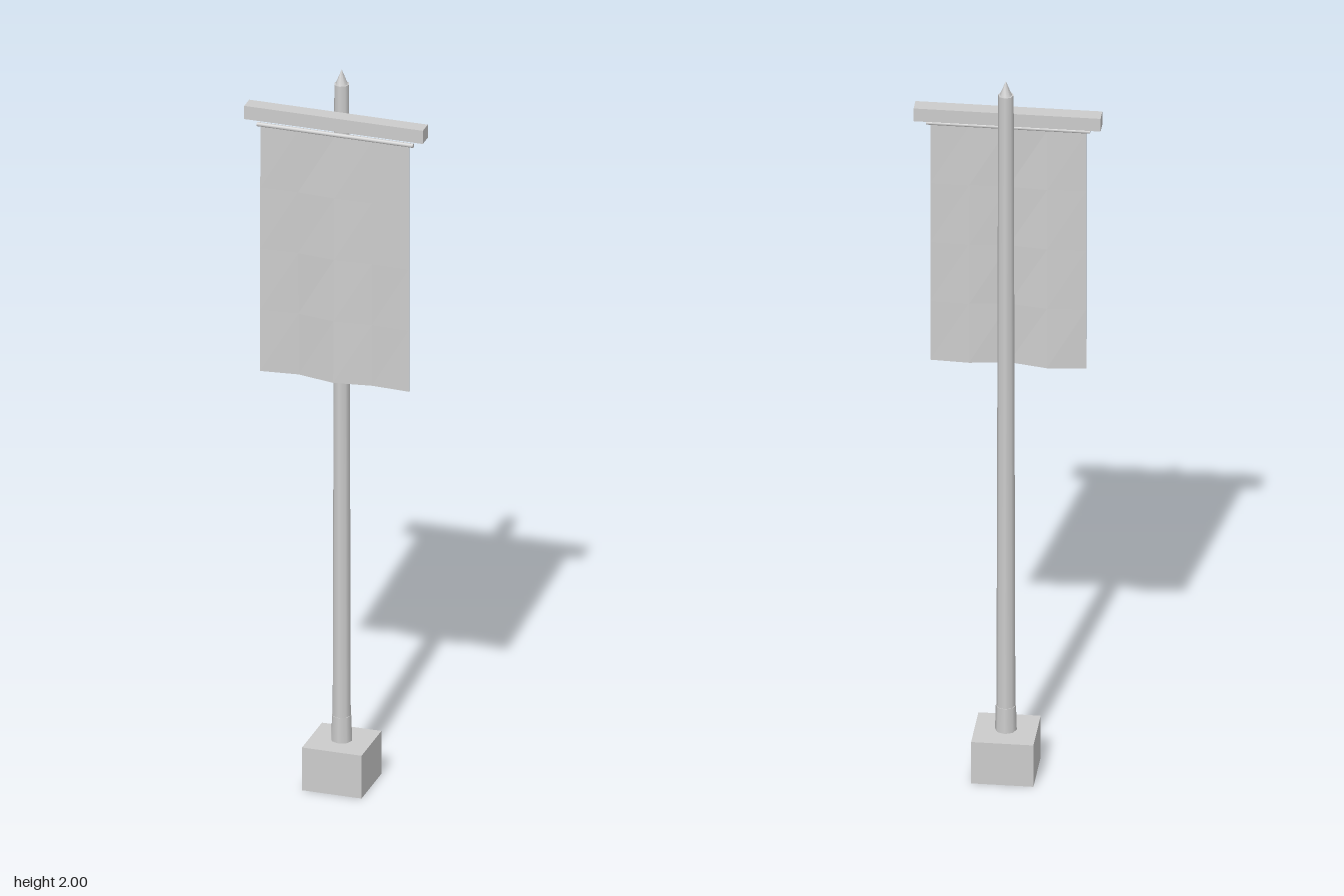
import * as THREE from 'three';

const plainGrey = new THREE.MeshStandardMaterial({ color: 0xcccccc });

function add(group, name, geometry, x = 0, y = 0, z = 0) {
  const mesh = new THREE.Mesh(geometry, plainGrey);
  mesh.name = name;
  mesh.position.set(x, y, z);
  group.add(mesh);
  return mesh;
}

// Hanging cloth: a thin slab whose folds deepen towards the hem
function clothGeometry(width, height, thickness) {
  const folds = [0.002, -0.009, 0.012, -0.003, 0.002];
  const geometry = new THREE.BoxGeometry(width, height, thickness, 4, 4, 1);
  const pos = geometry.attributes.position;
  for (let i = 0; i < pos.count; i++) {
    const column = Math.round((pos.getX(i) / width + 0.5) * 4);
    const drop = 0.5 - pos.getY(i) / height;
    pos.setZ(i, pos.getZ(i) + folds[column] * drop);
  }
  const flat = geometry.toNonIndexed();
  flat.computeVertexNormals();
  return flat;
}

export function createModel() {
  const model = new THREE.Group();
  model.name = 'bannerPole';

  // Square foot and the collar that holds the pole
  add(model, 'base', new THREE.BoxGeometry(0.16, 0.12, 0.16), 0, 0.06, 0);
  add(model, 'collar', new THREE.CylinderGeometry(0.026, 0.028, 0.07, 8), 0, 0.155, 0);

  // Eight-sided tapered pole with a pointed tip
  add(model, 'pole', new THREE.CylinderGeometry(0.02, 0.0245, 1.84, 8), 0, 1.04, 0);
  add(model, 'finial', new THREE.ConeGeometry(0.017, 0.042, 8), 0, 1.979, 0);

  // Crossbar in front of the pole
  add(model, 'crossbar', new THREE.BoxGeometry(0.48, 0.037, 0.04), 0, 1.873, 0.046);

  // Thin rod carrying the cloth
  const rod = add(model, 'clothRod', new THREE.CylinderGeometry(0.006, 0.006, 0.42, 8), 0, 1.839, 0.052);
  rod.rotation.z = Math.PI / 2;

  add(model, 'banner', clothGeometry(0.4, 0.685, 0.005), 0, 1.4925, 0.054);
  return model;
}
